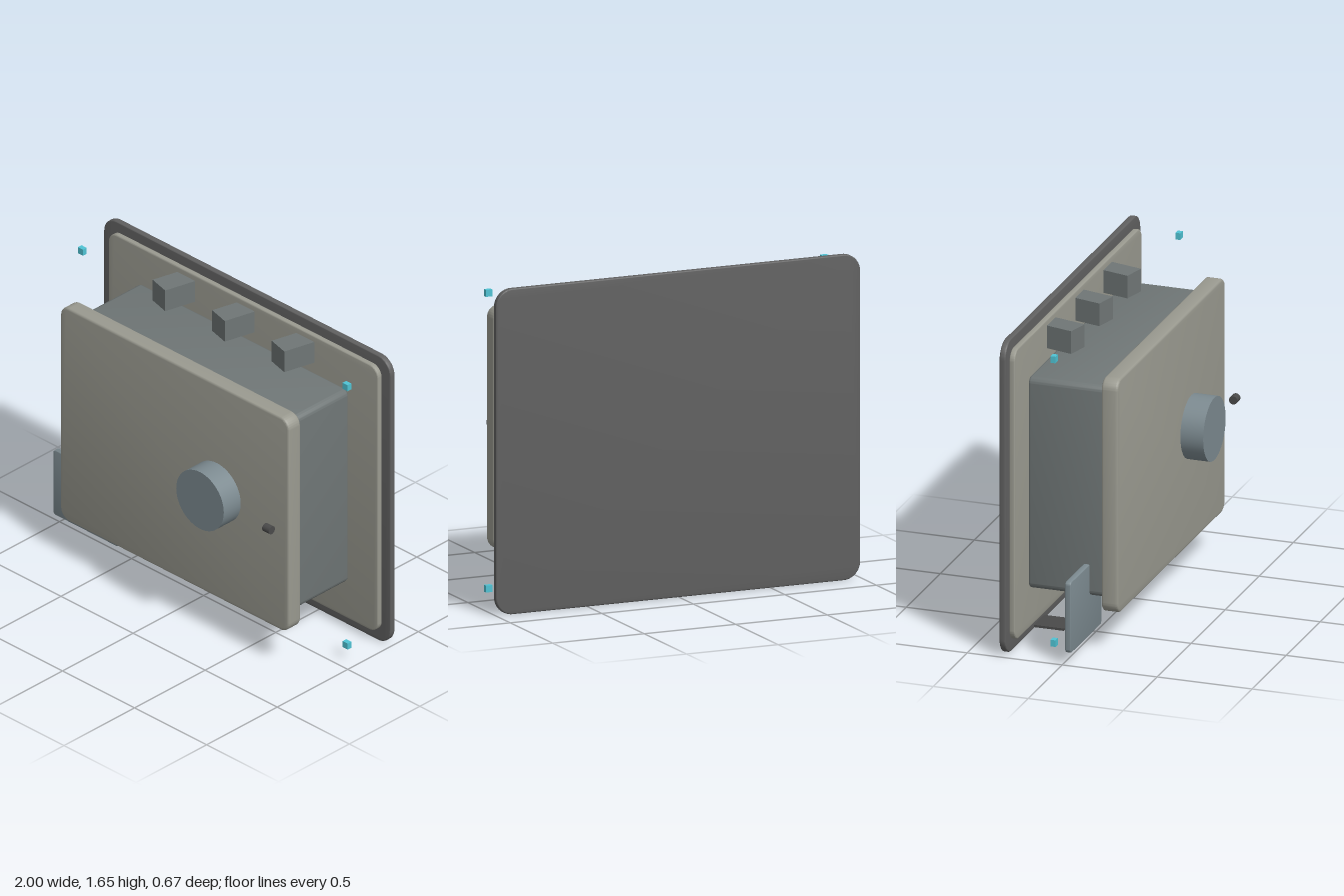
import * as THREE from 'three';
import { toCreasedNormals } from 'three/addons/utils/BufferGeometryUtils.js';

const mat = (color) => new THREE.MeshStandardMaterial({ color });
const stone = mat(0x9a9a90), slate = mat(0x6f7676), dark = mat(0x606060);
const steel = mat(0x7c8a90), black = mat(0x4a4a4a), cyan = mat(0x4fc3d4);

// Slab with rounded corners in the x-y plane and softened front and back rims
function slab(x0, x1, y0, y1, z0, z1, radius, bevel) {
  const a = x0 + bevel, b = x1 - bevel, c = y0 + bevel, d = y1 - bevel;
  const r = Math.max(radius - bevel, 0.002);
  const s = new THREE.Shape();
  s.absarc(b - r, c + r, r, -Math.PI / 2, 0);
  s.absarc(b - r, d - r, r, 0, Math.PI / 2);
  s.absarc(a + r, d - r, r, Math.PI / 2, Math.PI);
  s.absarc(a + r, c + r, r, Math.PI, Math.PI * 1.5);
  s.closePath();
  const g = new THREE.ExtrudeGeometry(s, {
    depth: z1 - z0 - 2 * bevel, bevelThickness: bevel, bevelSize: bevel,
    bevelSegments: 3, curveSegments: 8,
  });
  g.translate(0, 0, z0 + bevel);
  return toCreasedNormals(g, 0.6);
}

function box(x0, x1, y0, y1, z0, z1) {
  return new THREE.BoxGeometry(x1 - x0, y1 - y0, z1 - z0)
    .translate((x0 + x1) / 2, (y0 + y1) / 2, (z0 + z1) / 2);
}

export function createModel() {
  const model = new THREE.Group();
  model.name = 'wallBox';
  const add = (name, geometry, material) => {
    const mesh = new THREE.Mesh(geometry, material);
    mesh.name = name;
    model.add(mesh);
    return mesh;
  };

  // Stacked plates and housing, from back to front
  add('backPlate', slab(-0.99, 1.0, 0, 1.655, -0.335, -0.303, 0.09, 0.006), dark);
  add('mountingPlate', slab(-0.93, 0.94, 0.06, 1.6, -0.305, -0.275, 0.06, 0.006), stone);
  add('housing', slab(-0.725, 0.735, 0.27, 1.39, -0.28, 0.125, 0.035, 0.015), slate);
  add('housingCore', box(-0.68, 0.69, 0.31, 1.35, 0.1, 0.15), slate);
  add('frontPanel', slab(-0.785, 0.8, 0.212, 1.45, 0.128, 0.215, 0.06, 0.012), stone);

  // Dial and its small side pin
  add('dial', new THREE.CylinderGeometry(0.165, 0.165, 0.125, 48).rotateX(Math.PI / 2), steel)
    .position.set(0.303, 0.83, 0.2725);
  add('pin', new THREE.CylinderGeometry(0.022, 0.022, 0.046, 20).rotateZ(Math.PI / 2), black)
    .position.set(0.732, 0.83, 0.288);

  // Three turned blocks above the housing
  for (let i = -1; i <= 1; i++) {
    const block = add('topBlock', new THREE.BoxGeometry(0.12, 0.12, 0.185), slate);
    block.position.set(0.007 + i * 0.413, 1.508, -0.211);
    block.rotation.y = -0.25;
  }

  // Lower corner plate, tray and underside strip
  add('cornerPlate', slab(-1.0, -0.545, 0.065, 0.44, 0.015, 0.045, 0.018, 0.004), steel);
  add('tray', box(-0.735, -0.585, 0.075, 0.087, -0.243, -0.085), black);
  add('undersideStrip', box(-0.4, 0.41, 0.255, 0.275, -0.04, 0.042), black);

  // Small markers near the four corners
  for (const x of [-0.913, 0.923])
    for (const y of [0.08, 1.583])
      add('cornerMarker', new THREE.BoxGeometry(0.035, 0.035, 0.026), cyan).position.set(x, y, -0.073);

  return model;
}
